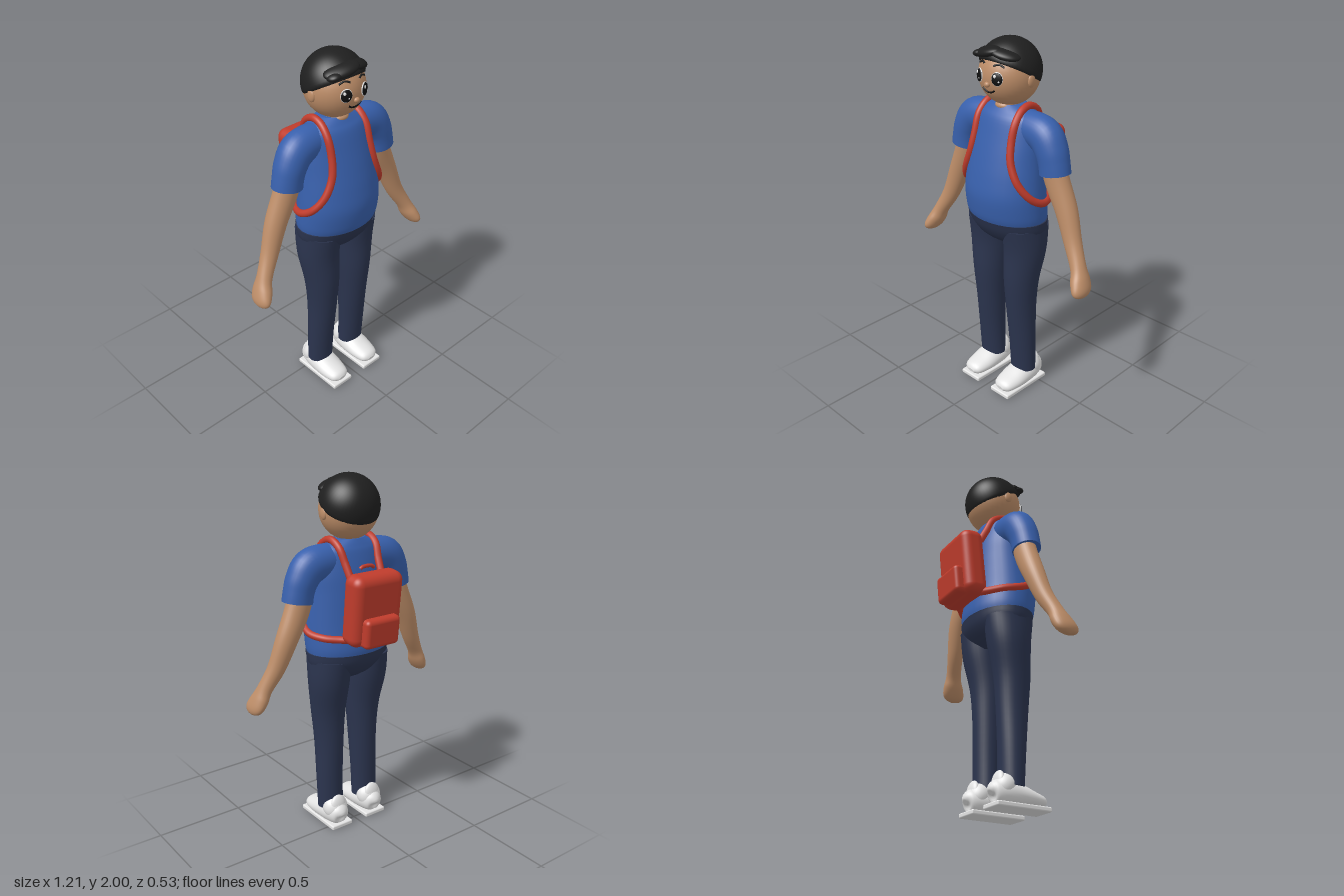
import * as THREE from 'three';
import { RoundedBoxGeometry } from 'three/addons/geometries/RoundedBoxGeometry.js';

const mat = (name, color) => Object.assign(new THREE.MeshStandardMaterial({ color }), { name });

// Smooth skin through sections [x, y, z, radiusInPlane, radiusInZ], with capped ends.
function loft(sections, steps = 5, sides = 32) {
  const rings = [];
  const cr = (a, b, c, d, t) => 0.5 * (2 * b + (c - a) * t + (2 * a - 5 * b + 4 * c - d) * t * t + (3 * b - a - 3 * c + d) * t * t * t);
  const at = (i) => sections[Math.min(Math.max(i, 0), sections.length - 1)];
  for (let i = 0; i < sections.length - 1; i++) {
    for (let s = 0; s < steps; s++) {
      rings.push(at(i).map((_, k) => cr(at(i - 1)[k], at(i)[k], at(i + 1)[k], at(i + 2)[k], s / steps)));
    }
  }
  rings.push(at(sections.length - 1));
  const pos = [], idx = [], n = rings.length;
  const addRing = (i) => {
    const [x, y, z, a, b] = rings[i];
    const p = rings[Math.max(i - 1, 0)], q = rings[Math.min(i + 1, n - 1)];
    const len = Math.hypot(q[0] - p[0], q[1] - p[1]);
    const ux = (q[1] - p[1]) / len, uy = -(q[0] - p[0]) / len;
    for (let j = 0; j < sides; j++) {
      const t = (j / sides) * Math.PI * 2, c = Math.cos(t) * a;
      pos.push(x + ux * c, y + uy * c, z + Math.sin(t) * b);
    }
  };
  for (let i = 0; i < n; i++) addRing(i);
  for (let i = 0; i < n - 1; i++) {
    for (let j = 0; j < sides; j++) {
      const a = i * sides + j, b = i * sides + ((j + 1) % sides), c = a + sides, d = b + sides;
      idx.push(a, c, b, b, c, d);
    }
  }
  // separate cap vertices keep the hems sharp
  for (const end of [0, n - 1]) {
    const base = pos.length / 3;
    addRing(end);
    pos.push(...rings[end].slice(0, 3));
    for (let j = 0; j < sides; j++) {
      const a = base + j, b = base + ((j + 1) % sides);
      if (end) idx.push(base + sides, b, a); else idx.push(base + sides, a, b);
    }
  }
  const g = new THREE.BufferGeometry();
  g.setAttribute('position', new THREE.Float32BufferAttribute(pos, 3));
  g.setIndex(idx);
  g.computeVertexNormals();
  return g;
}

const tube = (pts, r, seg = 48) => new THREE.TubeGeometry(
  new THREE.CatmullRomCurve3(pts.map((p) => new THREE.Vector3(...p))), seg, r, 12);

export function createModel() {
  const skin = mat('skin', 0xbd8d68), shirt = mat('shirtBlue', 0x3860ac), pants = mat('trouserNavy', 0x2b344e);
  const hair = mat('hairBlack', 0x1f1f1f), red = mat('packRed', 0xbf3c2c), white = mat('white', 0xe4e4e4);
  const black = mat('black', 0x101010);
  const model = new THREE.Group();
  model.name = 'boyWithBackpack';
  const add = (parent, name, geo, material, p = [0, 0, 0], s = [1, 1, 1], r = [0, 0, 0]) => {
    const m = new THREE.Mesh(geo, material);
    m.name = name;
    m.position.set(...p); m.scale.set(...s); m.rotation.set(...r);
    parent.add(m);
    return m;
  };
  const ball = new THREE.SphereGeometry(1, 32, 24);

  // Torso and hips
  add(model, 'shirtBody', loft([
    [0, 1.055, 0.065, 0.24, 0.175], [0, 1.1, 0.07, 0.245, 0.184], [0, 1.2, 0.08, 0.243, 0.185],
    [0, 1.3, 0.075, 0.235, 0.175], [0, 1.4, 0.065, 0.226, 0.16], [0, 1.5, 0.055, 0.22, 0.14],
    [0, 1.6, 0.05, 0.205, 0.112], [0, 1.64, 0.045, 0.165, 0.09], [0, 1.67, 0.042, 0.09, 0.07]]), shirt);
  add(model, 'trouserHips', loft([
    [0, 0.9, 0.06, 0.11, 0.06], [0, 0.94, 0.06, 0.2, 0.115], [0, 1.0, 0.06, 0.24, 0.158], [0, 1.06, 0.065, 0.248, 0.177]]), pants);

  // Arms, legs, shoes and straps, mirrored
  for (const side of [1, -1]) {
    const half = new THREE.Group();
    half.name = side > 0 ? 'leftLimbs' : 'rightLimbs';
    half.scale.x = side;
    model.add(half);
    add(half, 'sleeve', loft([
      [0.06, 1.56, 0.045, 0.085, 0.08], [0.17, 1.56, 0.045, 0.092, 0.085], [0.25, 1.54, 0.047, 0.096, 0.086],
      [0.295, 1.48, 0.05, 0.088, 0.083], [0.315, 1.42, 0.052, 0.084, 0.078], [0.325, 1.365, 0.053, 0.085, 0.076]]), shirt);
    add(half, 'arm', loft([
      [0.29, 1.45, 0.05, 0.068, 0.06], [0.335, 1.32, 0.045, 0.07, 0.058], [0.4, 1.18, 0.045, 0.061, 0.055],
      [0.46, 1.03, 0.06, 0.049, 0.046], [0.52, 0.92, 0.085, 0.04, 0.045], [0.547, 0.86, 0.1, 0.042, 0.062],
      [0.57, 0.815, 0.112, 0.036, 0.066], [0.582, 0.79, 0.115, 0.022, 0.045], [0.586, 0.78, 0.115, 0.003, 0.006]]), skin);
    add(half, 'trouserLeg', loft([
      [0.122, 0.11, 0.065, 0.077, 0.064], [0.122, 0.3, 0.072, 0.078, 0.072], [0.118, 0.52, 0.08, 0.083, 0.086],
      [0.12, 0.7, 0.08, 0.096, 0.1], [0.127, 0.88, 0.06, 0.113, 0.12], [0.125, 1.02, 0.06, 0.115, 0.14]]), pants);

    // Shoe is lofted from heel to toe
    const shoe = new THREE.Group();
    shoe.name = 'shoe';
    half.add(shoe);
    add(shoe, 'shoeUpper', loft([
      [-0.052, 0.07, 0, 0.01, 0.01], [-0.04, 0.075, 0, 0.055, 0.05], [0.02, 0.078, 0, 0.07, 0.07],
      [0.1, 0.07, 0, 0.062, 0.077], [0.17, 0.06, 0, 0.048, 0.074], [0.235, 0.052, 0, 0.034, 0.058],
      [0.258, 0.048, 0, 0.012, 0.025]]), white, [0.122, 0, 0], [1, 1, 1], [0, -Math.PI / 2, 0]);
    add(shoe, 'shoeCollar', ball, white, [0.122, 0.11, 0.02], [0.075, 0.075, 0.062], [0.5, 0, 0]);
    add(shoe, 'heelTab', ball, white, [0.122, 0.13, -0.012], [0.05, 0.06, 0.024], [0.15, 0, 0]);
    add(shoe, 'sole', new RoundedBoxGeometry(0.14, 0.026, 0.32, 3, 0.008), white, [0.12, 0.013, 0.105]);

    add(half, 'shoulderStrap', tube([
      [0.1, 1.16, -0.12], [0.15, 1.16, -0.078], [0.212, 1.165, -0.02], [0.248, 1.18, 0.065], [0.235, 1.22, 0.135],
      [0.19, 1.3, 0.183], [0.147, 1.4, 0.189], [0.131, 1.5, 0.17], [0.13, 1.6, 0.138], [0.125, 1.655, 0.085],
      [0.122, 1.668, 0.03], [0.118, 1.635, -0.032], [0.108, 1.56, -0.07], [0.1, 1.48, -0.11]], 0.02, 90), red);
  }

  // Backpack, leaning back slightly
  const pack = new THREE.Group();
  pack.name = 'backpack';
  pack.position.set(0, 1.33, -0.16);
  pack.rotation.x = -0.1;
  model.add(pack);
  add(pack, 'packBody', new RoundedBoxGeometry(0.315, 0.385, 0.135, 6, 0.05), red);
  add(pack, 'packPocket', new RoundedBoxGeometry(0.22, 0.16, 0.09, 5, 0.025), red, [0, -0.105, -0.068]);
  add(model, 'packHandle', tube([[-0.045, 1.53, -0.112], [-0.03, 1.54, -0.112], [0.03, 1.54, -0.112], [0.045, 1.53, -0.112]], 0.01, 16), red);

  // Head, neck and ears
  const C = [0, 1.815, 0.045], R = 0.16;
  const head = new THREE.Group();
  head.name = 'head';
  model.add(head);
  add(head, 'neck', new THREE.CylinderGeometry(0.065, 0.072, 0.1, 32), skin, [0, 1.66, 0.05]);
  add(head, 'neckline', ball, skin, [0, 1.66, 0.085], [0.05, 0.025, 0.042]);
  add(head, 'skull', ball, skin, C, [0.158, R, R - 0.002]);
  for (const s of [1, -1]) add(head, 'ear', ball, skin, [s * 0.155, 1.805, 0.05], [0.013, 0.033, 0.024]);

  // Hair cap with a turned-in rim, tilted to sit low at the back
  const profile = [new THREE.Vector2(0.145, -0.012), new THREE.Vector2(0.16, -0.012)];
  for (let i = 0; i <= 20; i++) {
    const t = (i / 20) * Math.PI / 2;
    profile.push(new THREE.Vector2(i === 20 ? 0 : 0.165 * Math.cos(t), 0.165 * Math.sin(t)));
  }
  add(head, 'hairCap', new THREE.LatheGeometry(profile, 48), hair, [0, 1.836, 0.042], [1, 1, 1], [-0.52, 0, 0]);
  add(head, 'hairFringe', ball, hair, [-0.045, 1.935, 0.142], [0.095, 0.028, 0.055], [0.2, -0.25, 0.25]);
  add(head, 'hairTuft', ball, hair, [-0.1, 1.918, 0.15], [0.038, 0.02, 0.038], [0, -0.6, 0.25]);
  add(head, 'hairSweep', ball, hair, [0.06, 1.935, 0.135], [0.08, 0.024, 0.05], [0.2, 0.4, -0.3]);

  // Face details laid on the front of the head
  const onFace = (x, y, lift = 0) => {
    const n = new THREE.Vector3(x, y - C[1], Math.sqrt(R * R - x * x - (y - C[1]) ** 2)).normalize();
    return [n.x * (R + lift), C[1] + n.y * (R + lift), C[2] + n.z * (R + lift)];
  };
  const faceDisc = (name, m, x, y, rx, ry, depth, lift) => {
    const p = onFace(x, y, lift);
    const d = add(head, name, ball, m, p, [rx, ry, depth]);
    d.lookAt(2 * p[0] - C[0], 2 * p[1] - C[1], 2 * p[2] - C[2]);
  };
  for (const s of [1, -1]) {
    faceDisc('eyeWhite', white, s * 0.06, 1.823, 0.031, 0.035, 0.008, 0);
    faceDisc('eyePupil', black, s * 0.06, 1.823, 0.029, 0.032, 0.008, 0.003);
    faceDisc('eyeGlint', white, s * 0.06 - 0.009, 1.836, 0.008, 0.009, 0.004, 0.009);
    faceDisc('eyeGlintSmall', white, s * 0.06 + 0.01, 1.812, 0.005, 0.005, 0.003, 0.009);
    add(head, 'eyebrow', tube([[0.03, 1.882], [0.055, 1.89], [0.085, 1.878]].map(([x, y]) => onFace(s * x, y)), 0.005, 16), hair);
  }
  faceDisc('nose', skin, 0, 1.787, 0.016, 0.014, 0.014, 0);
  add(head, 'smile', tube([[-0.042, 1.763], [-0.022, 1.75], [0, 1.746], [0.022, 1.75], [0.042, 1.763]].map(([x, y]) => onFace(x, y)), 0.0045, 24), black);

  return model;
}
